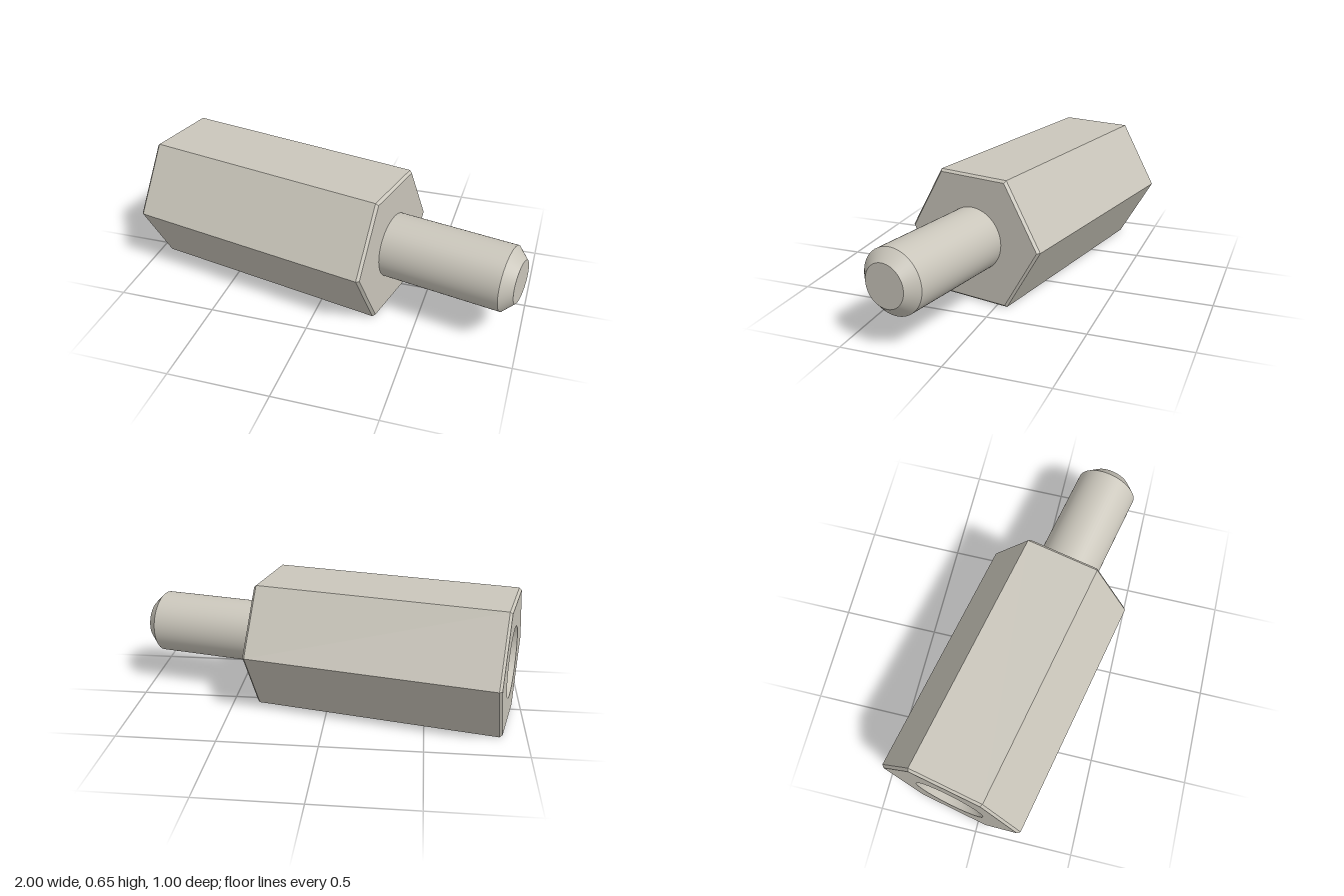
import * as THREE from 'three';
import { toCreasedNormals } from 'three/addons/utils/BufferGeometryUtils.js';

const HEX_R = 0.375;      // hexagon corner radius
const BODY_LEN = 1.285;
const TIP = 1.94;         // distance from the bored end to the stud tip
const SHAFT_R = 0.162;
const BORE_R = 0.134;
const SINK_R = 0.18;
const BEVEL = 0.013;

// Revolved profile with sharp edges kept crisp
function lathe(points, segments) {
  const profile = points.map(([r, y]) => new THREE.Vector2(r, y));
  return toCreasedNormals(new THREE.LatheGeometry(profile, segments), Math.PI / 6);
}

export function createModel() {
  const metal = new THREE.MeshStandardMaterial({ color: 0xcac6bb });
  metal.name = 'warm grey metal';

  const model = new THREE.Group();
  model.name = 'hexStandoff';
  const spacer = new THREE.Group();
  spacer.name = 'spacer';

  function add(name, geometry) {
    const mesh = new THREE.Mesh(geometry, metal);
    mesh.name = name;
    spacer.add(mesh);
  }

  // Hexagonal body: bevel, six flats, bevel, closed stud-side face
  const faceR = HEX_R - BEVEL;
  add('hexBody', lathe([
    [faceR, 0], [HEX_R, BEVEL], [HEX_R, BODY_LEN - BEVEL], [faceR, BODY_LEN], [0, BODY_LEN],
  ], 6));

  // Bored end face: hexagon with a round opening
  const face = new THREE.Shape();
  for (let i = 0; i < 6; i++) {
    const a = i * Math.PI / 3;
    const x = faceR * Math.sin(a), y = faceR * Math.cos(a);
    if (i === 0) face.moveTo(x, y); else face.lineTo(x, y);
  }
  face.closePath();
  face.holes.push(new THREE.Path().absarc(0, 0, SINK_R, 0, Math.PI * 2, true));
  add('boredFace', new THREE.ShapeGeometry(face, 32).rotateX(Math.PI / 2));

  // Countersunk blind bore
  add('bore', lathe([
    [0, 0.86], [BORE_R, 0.86], [BORE_R, SINK_R - BORE_R], [SINK_R, 0],
  ], 64));

  // Stud with a chamfered tip
  add('stud', lathe([
    [SHAFT_R, BODY_LEN], [SHAFT_R, TIP - 0.055], [SHAFT_R - 0.055, TIP], [0, TIP],
  ], 64));

  // Lay the axis along +x, then swing it 12 degrees towards the front
  spacer.rotation.set(0, -12 * Math.PI / 180, -Math.PI / 2, 'YXZ');
  spacer.position.set(-0.92, 0.325, -0.135);
  model.add(spacer);
  return model;
}
